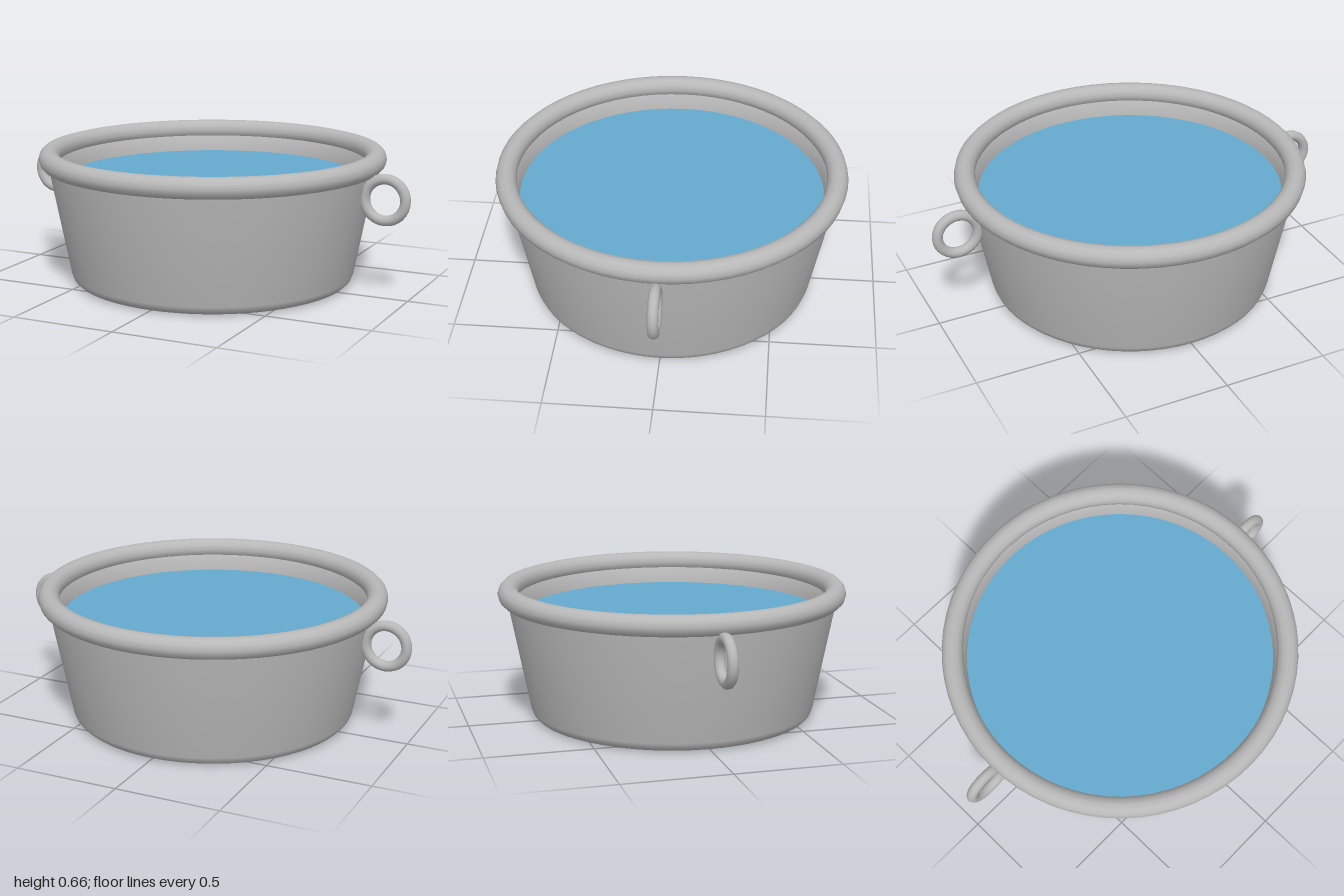
import * as THREE from 'three';

export function createModel() {
  const group = new THREE.Group();
  const metal = new THREE.MeshStandardMaterial({ color: 0xb8b8b8 });
  metal.name = 'grey metal';
  const blue = new THREE.MeshStandardMaterial({ color: 0x64a9cf });
  blue.name = 'water blue';

  const add = (name, geometry, material, x = 0, y = 0) => {
    const mesh = new THREE.Mesh(geometry, material);
    mesh.name = name;
    mesh.position.set(x, y, 0);
    group.add(mesh);
    return mesh;
  };

  // Tapered tub wall: rounded foot, outer wall, lip, inner wall and floor
  const profile = [
    [0, 0], [0.63, 0], [0.645, 0.001], [0.665, 0.009], [0.68, 0.024], [0.688, 0.045],
    [0.795, 0.6], [0.75, 0.6], [0.728, 0.5], [0.65, 0.05], [0, 0.05],
  ].map(([r, y]) => new THREE.Vector2(r, y));
  add('tub', new THREE.LatheGeometry(profile, 64), metal);

  // Rolled rim
  const rim = new THREE.TorusGeometry(0.785, 0.05, 12, 64).rotateX(Math.PI / 2);
  add('rim', rim, metal, 0, 0.606);

  // Water surface
  add('water', new THREE.CircleGeometry(0.728, 64).rotateX(-Math.PI / 2), blue, 0, 0.5);

  // Ring handle on each side
  for (const [name, side] of [['leftHandle', 1], ['rightHandle', -1]]) {
    add(name, new THREE.TorusGeometry(0.098, 0.025, 12, 32), metal, side * 0.877, 0.467);
  }
  return group;
}
